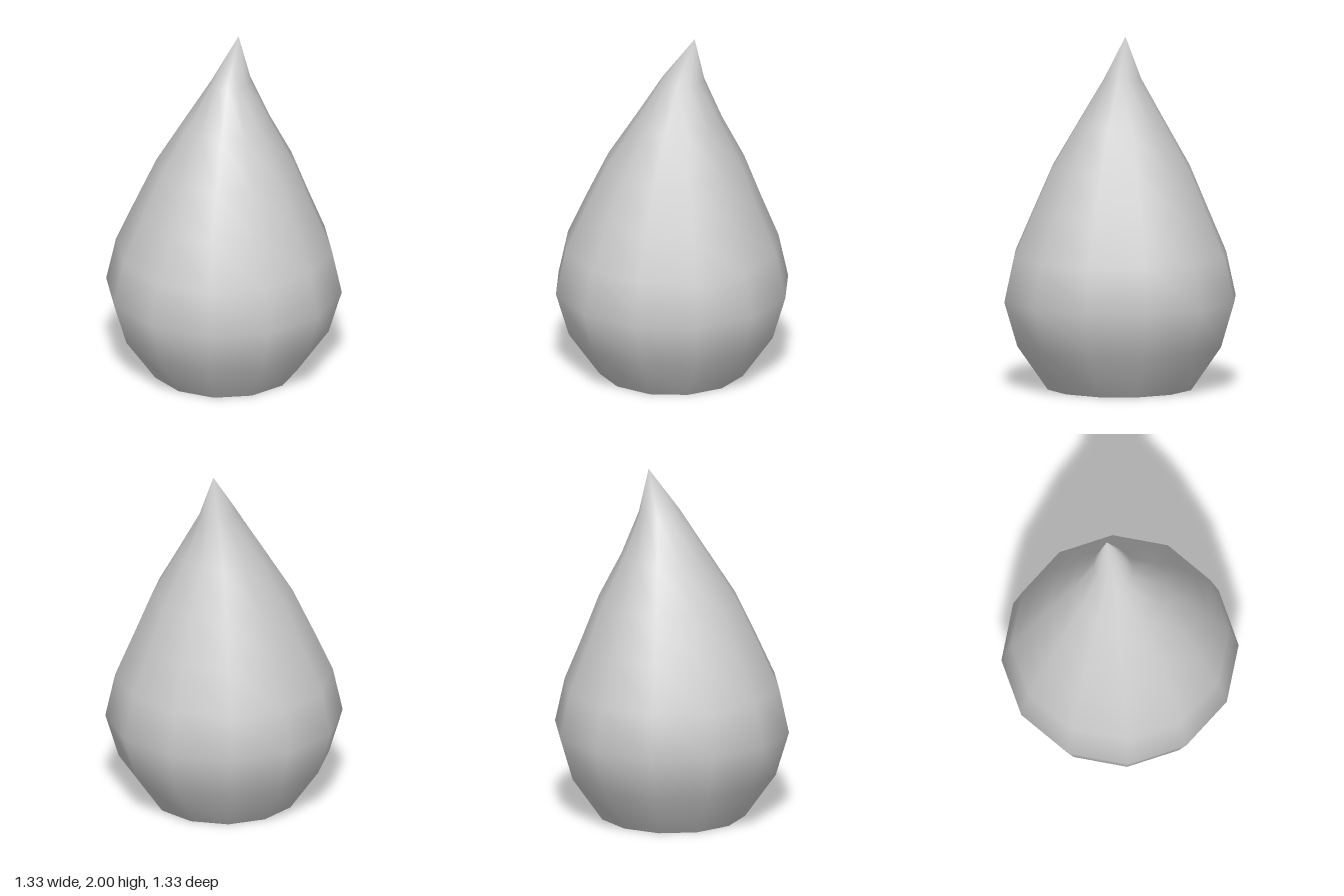
import * as THREE from 'three';
import { mergeVertices } from 'three/addons/utils/BufferGeometryUtils.js';

export function createModel() {
  const group = new THREE.Group();
  group.name = 'flame';
  const material = new THREE.MeshStandardMaterial({ color: 0xcccccc });
  const sides = 12;
  const step = 0.25;

  // Ring radius and sideways lean at each level, bottom to tip
  const radii = [0.415, 0.59, 0.665, 0.61, 0.502, 0.394, 0.25, 0.106, 0];
  const lean = [0, 0, 0, 0, 0.007, 0.02, 0.037, 0.066, 0.133];
  const widen = [1, 1, 1, 1, 1, 1, 1, 1.15, 1];

  // Smooth twelve-sided body with its tip curling to +x
  let body = new THREE.LatheGeometry(radii.map((r, i) => new THREE.Vector2(r, i * step)), sides);
  const p = body.attributes.position;
  for (let i = 0; i < p.count; i++) {
    const level = Math.round(p.getY(i) / step);
    p.setX(i, p.getX(i) * widen[level] + lean[level]);
  }
  body.deleteAttribute('uv');
  body.deleteAttribute('normal');
  body = mergeVertices(body, 1e-4);
  body.computeVertexNormals();
  const flame = new THREE.Mesh(body, material);
  flame.name = 'flameBody';

  // Flat underside
  const base = new THREE.Mesh(new THREE.CircleGeometry(radii[0], sides).rotateX(Math.PI / 2), material);
  base.name = 'base';

  group.add(flame, base);
  return group;
}
